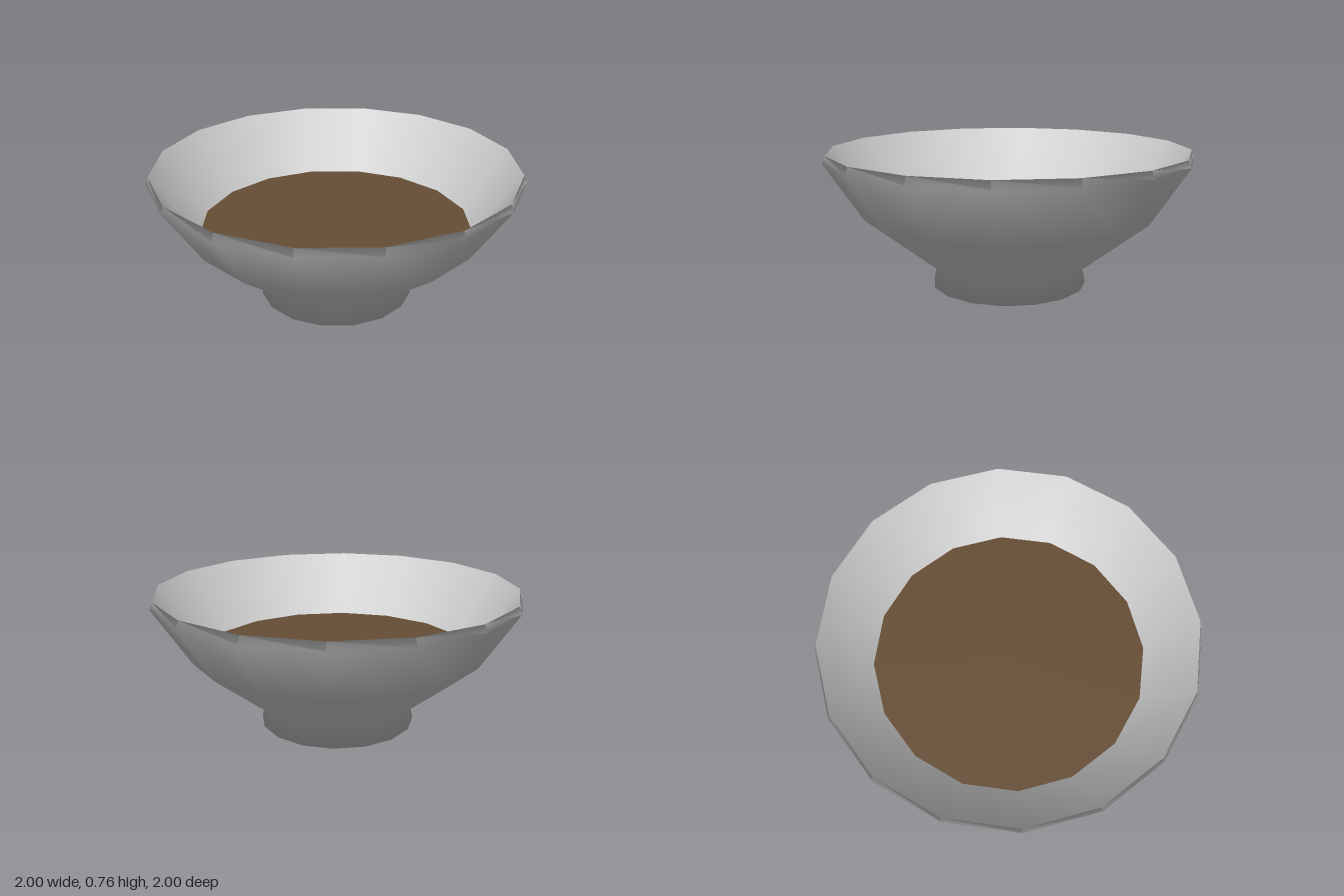
import * as THREE from 'three';

const SIDES = 16;

export function createModel() {
  const group = new THREE.Group();
  group.name = 'soupBowl';

  // Bowl: one closed profile from the foot, up the outside, over the rim and down the inside
  const profile = [
    [0, 0], [0.43, 0], [0.41, 0.1], [0.8, 0.41], [1, 0.72],
    [0.985, 0.76], [0.75, 0.41], [0.37, 0.13], [0, 0.13],
  ].map(([r, y]) => new THREE.Vector2(r, y));
  const bowl = new THREE.Mesh(
    new THREE.LatheGeometry(profile, SIDES),
    new THREE.MeshStandardMaterial({ color: 0xcccccc })
  );
  bowl.name = 'bowl';
  group.add(bowl);

  // Soup: flat disc filling the bowl to its inner bend
  const soup = new THREE.Mesh(
    new THREE.CircleGeometry(0.75, SIDES).rotateX(-Math.PI / 2),
    new THREE.MeshStandardMaterial({ color: 0x664e35 })
  );
  soup.position.y = 0.41;
  soup.name = 'soup';
  group.add(soup);

  return group;
}
